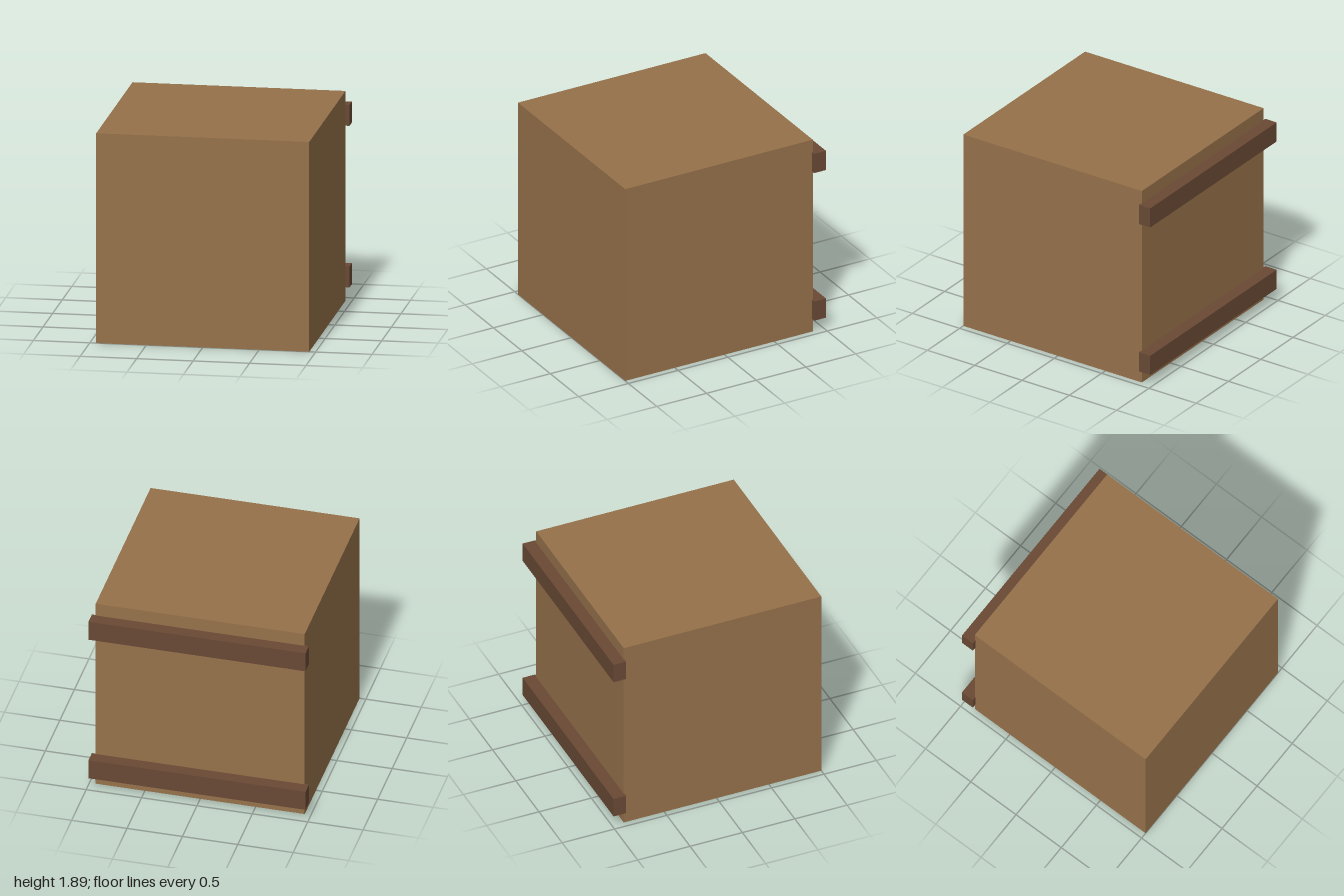
import * as THREE from 'three';

export function createModel() {
  const group = new THREE.Group();
  const wood = new THREE.MeshStandardMaterial({ color: 0x96714a });
  const darkWood = new THREE.MeshStandardMaterial({ color: 0x694935 });

  function addBox(name, size, position, material) {
    const mesh = new THREE.Mesh(new THREE.BoxGeometry(...size), material);
    mesh.name = name;
    mesh.position.set(...position);
    group.add(mesh);
  }

  // Main crate block, standing on the ground
  addBox('crateBody', [1.887, 1.887, 1.887], [0, 0.9435, 0.0565], wood);

  // Two battens across the back, slightly wider than the crate and sunk into it
  addBox('lowerBatten', [1.96, 0.188, 0.12], [0, 0.217, -0.94], darkWood);
  addBox('upperBatten', [1.96, 0.188, 0.12], [0, 1.67, -0.94], darkWood);

  return group;
}
